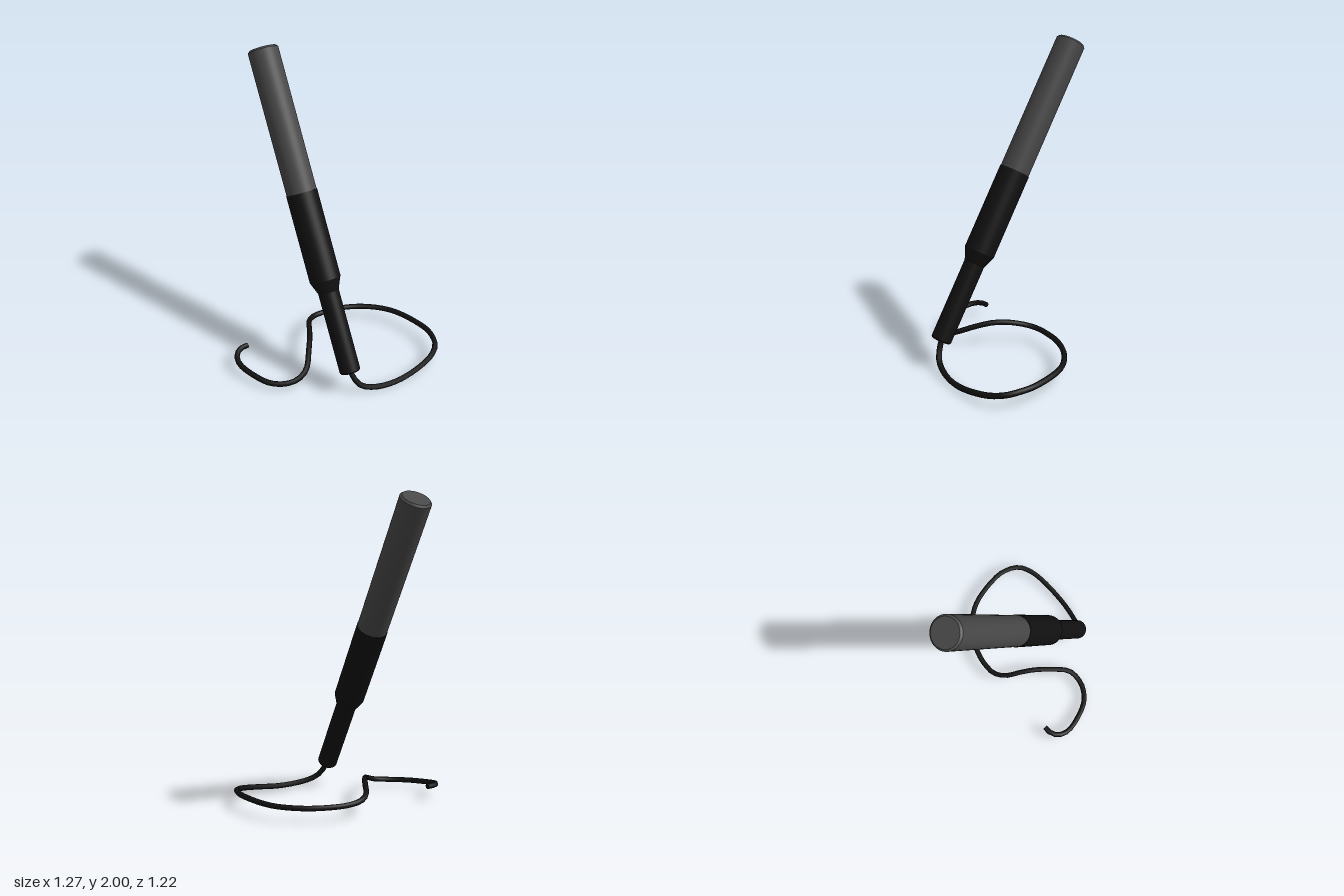
import * as THREE from 'three';
import { toCreasedNormals } from 'three/addons/utils/BufferGeometryUtils.js';

const grey = new THREE.MeshStandardMaterial({ color: 0x484848 });
const black = new THREE.MeshStandardMaterial({ color: 0x111111 });

// Turned part from [radius, height] pairs, listed from bottom to top
function turned(name, profile, material) {
  const points = profile.map(([r, y]) => new THREE.Vector2(r, y));
  const geometry = toCreasedNormals(new THREE.LatheGeometry(points, 40), 0.35);
  const mesh = new THREE.Mesh(geometry, material);
  mesh.name = name;
  return mesh;
}

export function createModel() {
  const model = new THREE.Group();
  model.name = 'stylusWithCord';

  // Leaning stylus, built upright from its lower end
  const stylus = new THREE.Group();
  stylus.name = 'stylus';
  stylus.add(
    turned('lowerShaft', [[0, 0], [0.06, 0], [0.066, 0.008], [0.066, 0.54], [0, 0.54]], black),
    turned('grip', [[0, 0.525], [0.066, 0.525], [0.0985, 0.606], [0.0985, 1.163], [0, 1.163]], black),
    turned('upperBarrel', [[0, 1.15], [0.0955, 1.15], [0.0955, 2.058], [0.084, 2.07], [0, 2.07]], grey)
  );
  stylus.position.set(-0.1, 0.165, 0.5);
  stylus.rotation.x = -Math.PI / 6;
  model.add(stylus);

  // Cord leaving the lower end, looping round and passing under the stylus
  const path = new THREE.CatmullRomCurve3([
    [-0.1, 0.18, 0.49], [-0.085, 0.12, 0.52], [-0.05, 0.066, 0.548],
    [0.02, 0.035, 0.57], [0.12, 0.021, 0.588], [0.24, 0.022, 0.593],
    [0.395, 0.045, 0.58], [0.505, 0.066, 0.55], [0.58, 0.085, 0.495],
    [0.617, 0.098, 0.395], [0.617, 0.1, 0.3], [0.54, 0.1, 0.055],
    [0.395, 0.1, -0.092], [0.235, 0.1, -0.164], [0.123, 0.1, -0.18],
    [0.04, 0.107, -0.172], [-0.03, 0.122, -0.125], [-0.09, 0.148, -0.02],
    [-0.135, 0.152, 0.06], [-0.195, 0.132, 0.15], [-0.286, 0.085, 0.266],
    [-0.36, 0.056, 0.286], [-0.433, 0.046, 0.273], [-0.515, 0.045, 0.218],
    [-0.57, 0.055, 0.13], [-0.617, 0.075, -0.02], [-0.6, 0.09, -0.092],
    [-0.556, 0.098, -0.13], [-0.5, 0.1, -0.136]
  ].map((p) => new THREE.Vector3(...p)));
  const cord = new THREE.Mesh(new THREE.TubeGeometry(path, 72, 0.018, 8), black);
  cord.name = 'cord';
  model.add(cord);

  // Flat cap closing the free end
  const cap = new THREE.Mesh(new THREE.CircleGeometry(0.018, 8), black);
  cap.name = 'cordEnd';
  cap.position.copy(path.getPoint(1));
  cap.lookAt(path.getPoint(1).add(path.getTangent(1)));
  model.add(cap);

  return model;
}
